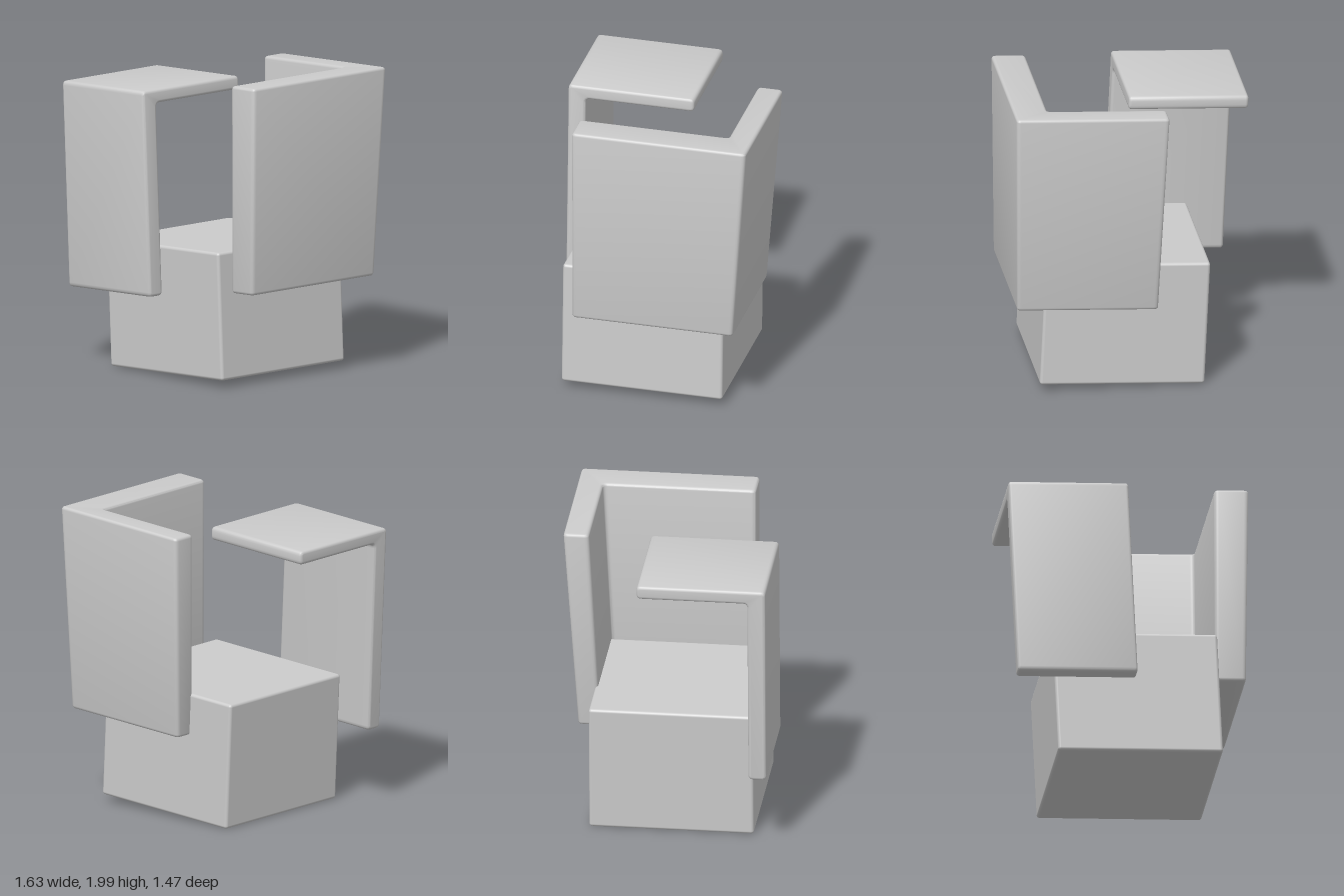
import * as THREE from 'three';
import { toCreasedNormals } from 'three/addons/utils/BufferGeometryUtils.js';
import { RoundedBoxGeometry } from 'three/addons/geometries/RoundedBoxGeometry.js';

const R = 0.02; // edge rounding
const material = new THREE.MeshStandardMaterial({ color: 0xcccccc });

// Polygon with softened corners
function roundedPolygon(points, r) {
  const shape = new THREE.Shape();
  const pts = points.map(([x, y]) => new THREE.Vector2(x, y));
  pts.forEach((p, i) => {
    const prev = pts[(i + pts.length - 1) % pts.length];
    const next = pts[(i + 1) % pts.length];
    const a = p.clone().add(prev.clone().sub(p).setLength(r));
    const b = p.clone().add(next.clone().sub(p).setLength(r));
    if (i === 0) shape.moveTo(a.x, a.y);
    else shape.lineTo(a.x, a.y);
    shape.quadraticCurveTo(p.x, p.y, b.x, b.y);
  });
  shape.closePath();
  return shape;
}

// Thick bent plate with rounded edges, running from 0 to length along z
function bentPlate(points, length) {
  const geometry = new THREE.ExtrudeGeometry(roundedPolygon(points, R * 1.5), {
    depth: length - 2 * R, curveSegments: 4,
    bevelSize: R, bevelThickness: R, bevelOffset: -R, bevelSegments: 4,
  });
  return geometry.translate(0, 0, R);
}

function addPart(parent, name, geometry) {
  const mesh = new THREE.Mesh(geometry, material);
  mesh.name = name;
  parent.add(mesh);
}

export function createModel() {
  const model = new THREE.Group();
  model.name = 'cubeWithBentPlates';

  // The whole assembly is slightly turned and tilted
  const assembly = new THREE.Group();
  assembly.name = 'assembly';
  assembly.rotation.set(0, 0.047, 0.047, 'YZX');
  model.add(assembly);

  // Base block
  const base = new RoundedBoxGeometry(1.085, 0.844, 1.08, 4, R);
  addPart(assembly, 'baseBlock', base.translate(0.07, 0.45, 0.04));

  // Front plate folding back over the top (profile is -z, y)
  const front = bentPlate([
    [-0.695, 0.543], [-0.577, 0.543], [-0.577, 1.81],
    [0.15, 1.81], [0.15, 1.9], [-0.695, 1.9],
  ], 0.788);
  front.rotateY(Math.PI / 2).translate(-0.728, 0, 0);
  addPart(assembly, 'frontTopPlate', toCreasedNormals(front, 0.6));

  // Back plate wrapping round the left side (profile is x, -z)
  const bottom = 0.593, top = 1.963;
  const back = bentPlate([
    [-0.125, 0.535], [0.66, 0.535], [0.66, -0.467],
    [0.885, -0.467], [0.885, 0.703], [-0.125, 0.703],
  ], top - bottom);
  back.rotateX(-Math.PI / 2).translate(0, bottom, 0);

  // Both outer walls lean inward towards the bottom
  const pos = back.attributes.position;
  for (let i = 0; i < pos.count; i++) {
    const t = (top - pos.getY(i)) / (top - bottom);
    if (pos.getX(i) > 0) pos.setX(i, pos.getX(i) * (1 - 0.09 * t));
    if (pos.getZ(i) < 0) pos.setZ(i, pos.getZ(i) * (1 - 0.13 * t));
  }
  addPart(assembly, 'backSidePlate', toCreasedNormals(back, 0.6));

  return model;
}
